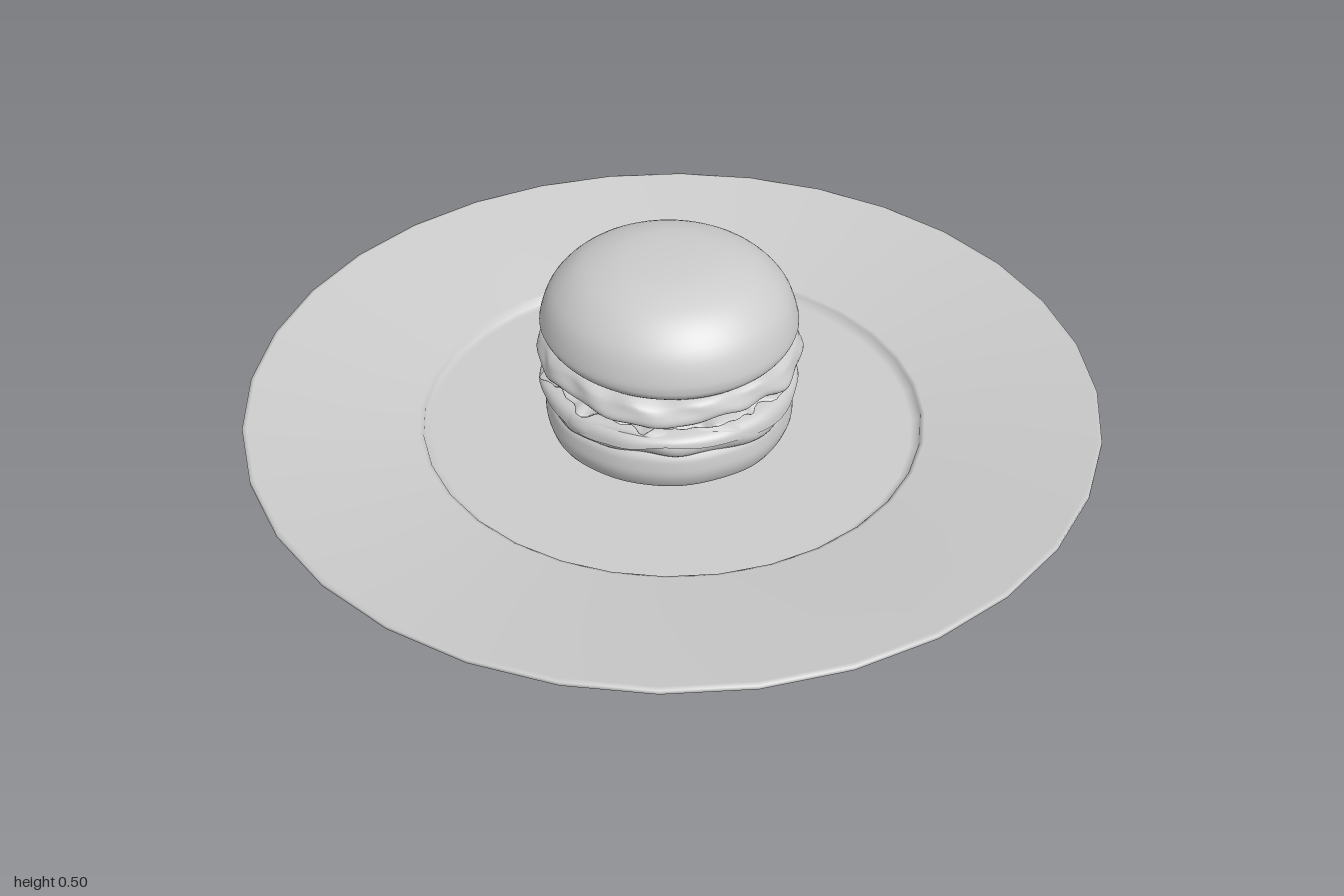
import * as THREE from 'three';
import { mergeVertices } from 'three/addons/utils/BufferGeometryUtils.js';

const material = new THREE.MeshStandardMaterial({ color: 0xcccccc, side: THREE.DoubleSide });

// Smooth spline profile turned around the y axis, then shaped by a rule
// rule(angle, radius, y) returns [radius, y]; angle 0 is +z, PI/2 is +x
function layer(name, profile, rule, samples = 24, sides = 96) {
  const curve = new THREE.SplineCurve(profile.map(([r, y]) => new THREE.Vector2(r, y)));
  const pts = curve.getPoints(samples);
  pts.forEach(p => { p.x = Math.max(p.x, 0); });
  let geo = new THREE.LatheGeometry(pts, sides);
  geo.deleteAttribute('uv');
  geo.deleteAttribute('normal');
  geo = mergeVertices(geo, 1e-5);
  const pos = geo.attributes.position;
  for (let i = 0; i < pos.count; i++) {
    const x = pos.getX(i), z = pos.getZ(i);
    const a = Math.atan2(x, z);
    const [r, y] = rule(a, Math.hypot(x, z), pos.getY(i));
    pos.setXYZ(i, Math.sin(a) * r, y, Math.cos(a) * r);
  }
  geo.computeVertexNormals();
  const mesh = new THREE.Mesh(geo, material);
  mesh.name = name;
  return mesh;
}

// Irregular wave around the circle, about -1 to 1
const wave = (a, n, s) =>
  0.5 * Math.sin(n * a + s) + 0.3 * Math.sin((2 * n + 1) * a + 2.3 * s) + 0.2 * Math.sin((3 * n + 2) * a + 4.1 * s);

export function createModel() {
  const model = new THREE.Group();
  model.name = 'burgerOnPlate';

  // Plate: foot, sloping underside, thin rim and a small step into the well
  const plateProfile = [
    [0, 0], [0.6, 0], [0.61, 0.002], [0.61, 0.034], [0.995, 0.11], [1, 0.115],
    [1, 0.124], [0.99, 0.126], [0.6, 0.056], [0.59, 0.052], [0.587, 0.037], [0.57, 0.035], [0, 0.035],
  ].map(([r, y]) => new THREE.Vector2(r, y));
  const plate = new THREE.Mesh(new THREE.LatheGeometry(plateProfile, 32), material);
  plate.name = 'plate';
  model.add(plate);

  const burger = new THREE.Group();
  burger.name = 'burger';
  burger.position.x = -0.012;
  model.add(burger);

  // Bottom bun
  burger.add(layer('bottomBun',
    [[0, 0.035], [0.2, 0.035], [0.265, 0.042], [0.288, 0.075], [0.29, 0.11], [0.275, 0.145], [0.2, 0.15], [0, 0.15]],
    (a, r, y) => [r * (1 + 0.012 * wave(a, 3, 1)), y]));

  // Lower patty, bulging unevenly
  burger.add(layer('lowerPatty',
    [[0, 0.125], [0.2, 0.125], [0.268, 0.132], [0.292, 0.155], [0.29, 0.185], [0.265, 0.203], [0.15, 0.208], [0, 0.208]],
    (a, r, y) => [r * (1 + 0.025 * wave(a, 4, 2) + 0.01 * Math.sin(9 * a + y * 60)), y + 0.012 * (r / 0.29) * wave(a, 3, 5)]));

  // Cheese slice: thin sheet with its skirt hanging lowest at the +x corner
  burger.add(layer('cheeseSlice',
    [[0.2, 0.2], [0.25, 0.204], [0.283, 0.198], [0.298, 0.18], [0.302, 0.155]],
    (a, r, y) => {
      const corner = Math.pow(Math.abs(Math.cos(2 * a)), 4);
      const main = Math.exp(-Math.pow((a - Math.PI / 2) / 0.28, 2));
      const hang = 0.55 + 0.35 * corner + 0.15 * wave(a, 4, 3) + 1.3 * main;
      return [r * (1 + 0.01 * wave(a, 5, 1)), y < 0.2 ? 0.2 - (0.2 - y) * hang : y];
    }, 14));

  // Lettuce: ruffled leaf edge in the gap between the patties
  burger.add(layer('lettuce',
    [[0, 0.205], [0.18, 0.207], [0.25, 0.214], [0.288, 0.22], [0.29, 0.228], [0.25, 0.236], [0.15, 0.24], [0, 0.24]],
    (a, r, y) => {
      const k = Math.pow(Math.min(r / 0.285, 1), 6);
      return [r * (1 + 0.06 * k * wave(a, 11, 1)), y + 0.011 * k * wave(a, 13, 2)];
    }, 24, 160));

  // Upper patty with melted, wavy sides
  burger.add(layer('upperPatty',
    [[0, 0.226], [0.2, 0.226], [0.272, 0.23], [0.302, 0.245], [0.298, 0.268], [0.278, 0.292], [0.2, 0.305], [0, 0.305]],
    (a, r, y) => {
      const k = Math.pow(Math.min(r / 0.29, 1), 3);
      return [r * (1 + 0.03 * k * wave(a, 4, 6) + 0.008 * k * Math.sin(13 * a + y * 80)), y + 0.012 * k * wave(a, 5, 4)];
    }));

  // Top bun: smooth flattened dome
  burger.add(layer('topBun',
    [[0, 0.29], [0.2, 0.29], [0.265, 0.295], [0.292, 0.315], [0.294, 0.345], [0.27, 0.405],
      [0.215, 0.458], [0.14, 0.488], [0.07, 0.498], [0, 0.5]],
    (a, r, y) => [r * (1 + 0.008 * Math.sin(2 * a + 1)), y + (y < 0.33 ? 0.006 * (r / 0.29) * Math.sin(2 * a) : 0)], 40));

  return model;
}
